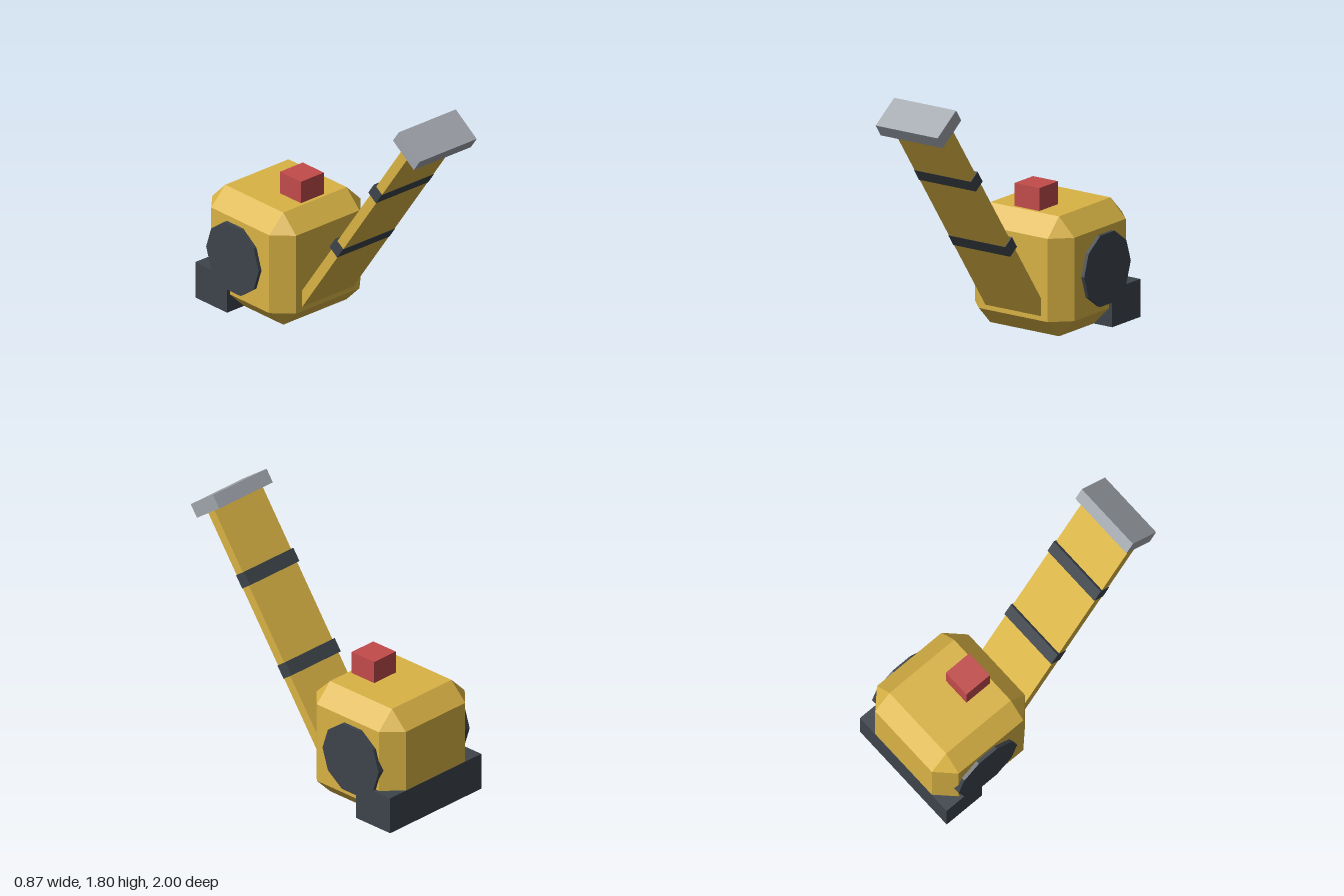
import * as THREE from 'three';
import { ConvexGeometry } from 'three/addons/geometries/ConvexGeometry.js';

const paint = (name, color) => {
  const m = new THREE.MeshStandardMaterial({ color });
  m.name = name;
  return m;
};

export function createModel() {
  const yellow = paint('yellow', 0xd9b344);
  const dark = paint('darkGrey', 0x3d444b);
  const grey = paint('lightGrey', 0xa0a5ac);
  const red = paint('red', 0xc24b4b);

  const model = new THREE.Group();
  model.name = 'machine';

  const add = (parent, name, geometry, material, x, y, z) => {
    const mesh = new THREE.Mesh(geometry, material);
    mesh.name = name;
    mesh.position.set(x, y, z);
    parent.add(mesh);
    return mesh;
  };
  const box = (parent, name, material, w, h, d, x, y, z) =>
    add(parent, name, new THREE.BoxGeometry(w, h, d), material, x, y, z);

  // Box with every edge and corner cut off
  const chamferedBox = (w, h, d, c) => {
    const points = [];
    for (const sx of [-1, 1]) for (const sy of [-1, 1]) for (const sz of [-1, 1]) {
      const x = w / 2, y = h / 2, z = d / 2;
      points.push(
        new THREE.Vector3(sx * x, sy * (y - c), sz * (z - c)),
        new THREE.Vector3(sx * (x - c), sy * y, sz * (z - c)),
        new THREE.Vector3(sx * (x - c), sy * (y - c), sz * z));
    }
    return new ConvexGeometry(points);
  };

  // Body
  add(model, 'body', chamferedBox(0.82, 0.825, 0.82, 0.126), yellow, 0, 0.4125, -0.589);
  box(model, 'rearBase', dark, 0.87, 0.261, 0.311, 0, 0.1295, -0.8455);
  box(model, 'topBlock', red, 0.206, 0.165, 0.206, 0, 0.9, -0.433);

  // Ten-sided discs on both flanks
  for (const side of [-1, 1]) {
    const disc = add(model, side > 0 ? 'leftDisc' : 'rightDisc',
      new THREE.CylinderGeometry(0.257, 0.257, 0.07, 10).toNonIndexed(), dark,
      side * 0.4, 0.413, -0.638);
    disc.geometry.computeVertexNormals();
    disc.rotation.z = Math.PI / 2;
  }

  // Leaning arm with two bands and an end cap
  const arm = new THREE.Group();
  arm.name = 'arm';
  arm.position.set(0, 0.2175, -0.18);
  arm.rotation.x = 0.615;
  model.add(arm);
  box(arm, 'armPanel', yellow, 0.46, 1.87, 0.07, 0, 0.835, 0);
  for (const y of [0.601, 1.258]) {
    box(arm, 'armBand', dark, 0.47, 0.097, 0.091, 0, y, -0.0095);
  }
  box(arm, 'armCap', grey, 0.512, 0.099, 0.25, 0, 1.807, 0.006);

  return model;
}
